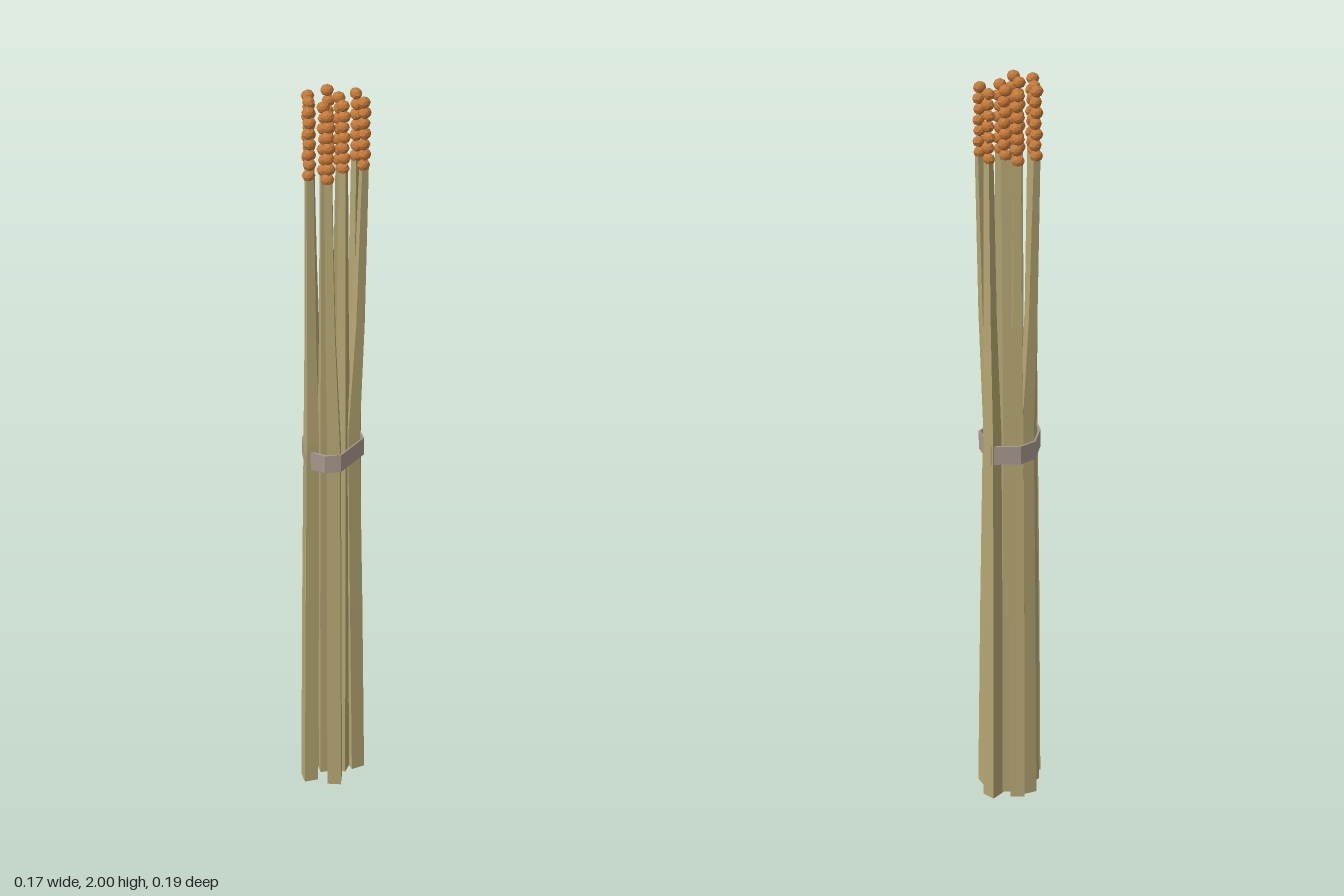
import * as THREE from 'three';

const straw = new THREE.MeshStandardMaterial({ color: 0xb5a673, flatShading: true, side: THREE.DoubleSide });
const grain = new THREE.MeshStandardMaterial({ color: 0xc47a3a, flatShading: true });
const tie = new THREE.MeshStandardMaterial({ color: 0xa8998f, flatShading: true, side: THREE.DoubleSide });

// Each stalk: base, middle and head centre as [x, z], then the turn about y
const STALKS = [
  [[-0.03, -0.055], [-0.028, -0.06], [-0.029, -0.076], 0.1],
  [[0.036, -0.064], [0.033, -0.074], [0.041, -0.068], -0.6],
  [[-0.055, -0.035], [-0.046, -0.034], [-0.069, -0.038], 0.5],
  [[-0.003, -0.035], [-0.006, -0.035], [0.005, -0.04], 0.15],
  [[-0.055, 0.014], [-0.047, 0.015], [-0.06, 0], -0.6],
  [[-0.02, 0.024], [-0.018, 0.028], [-0.021, 0.021], 0.4],
  [[0.022, 0.012], [0.022, 0.012], [0.023, 0.005], -0.2],
  [[0.058, -0.006], [0.044, 0], [0.068, -0.022], 0.6],
  [[-0.056, 0.07], [-0.046, 0.07], [-0.05, 0.056], 0.45],
  [[0.014, 0.072], [0.012, 0.072], [-0.002, 0.07], 0.1],
];

// Square stem whose box rings are shifted, tapered and turned with height
function makeStem(base, mid, top, turn) {
  const rings = [
    { y: 0, p: base, w: 0.037 },
    { y: 0.55, p: [(base[0] + mid[0]) / 2, (base[1] + mid[1]) / 2], w: 0.036 },
    { y: 1.09, p: mid, w: 0.032 },
    { y: 1.4, p: [mid[0] * 0.4 + top[0] * 0.6, mid[1] * 0.4 + top[1] * 0.6], w: 0.023 },
    { y: 1.83, p: top, w: 0.017 },
  ];
  const geo = new THREE.BoxGeometry(1, 4, 1, 1, 4, 1);
  const pos = geo.attributes.position;
  for (let i = 0; i < pos.count; i++) {
    const r = rings[Math.round(pos.getY(i) + 2)];
    const x = pos.getX(i) * r.w, z = pos.getZ(i) * r.w;
    const c = Math.cos(turn), s = Math.sin(turn);
    pos.setXYZ(i, r.p[0] + x * c + z * s, r.y, r.p[1] - x * s + z * c);
  }
  geo.computeVertexNormals();
  return new THREE.Mesh(geo, straw);
}

// Ear of stacked faceted kernels lying on their sides
const kernelGeo = new THREE.SphereGeometry(1, 8, 5).rotateX(Math.PI / 2);
kernelGeo.scale(0.0165, 0.0148, 0.0135);
function makeEar(p, turn) {
  const ear = new THREE.Group();
  const count = 7;
  for (let i = 0; i < count; i++) {
    const kernel = new THREE.Mesh(kernelGeo, grain);
    kernel.name = 'kernel';
    const side = i % 2 ? 0.0015 : -0.0015;
    kernel.position.set(p[0] + side * Math.cos(turn), 1.825 + i * 0.0268, p[1] - side * Math.sin(turn));
    kernel.rotation.y = turn + (i % 2 ? 0.25 : 0);
    ear.add(kernel);
  }
  return ear;
}

// Flat strap following the outline of the bundle
function makeBand() {
  const outline = [[0.035, -0.094], [0.076, -0.006], [0.032, 0.086], [-0.006, 0.097],
    [-0.06, 0.083], [-0.079, 0.02], [-0.073, -0.05], [-0.04, -0.083]];
  const shape = new THREE.Shape(outline.map(([x, z]) => new THREE.Vector2(x, -z)));
  shape.holes.push(new THREE.Path(outline.map(([x, z]) => new THREE.Vector2(x * 0.94, -z * 0.94))));
  const geo = new THREE.ExtrudeGeometry(shape, { depth: 0.05, bevelEnabled: false });
  geo.rotateX(-Math.PI / 2).translate(0, 1.02, 0);
  return new THREE.Mesh(geo, tie);
}

export function createModel() {
  const model = new THREE.Group();
  model.name = 'grainSheaf';
  for (const [base, mid, top, turn] of STALKS) {
    const stalk = new THREE.Group();
    stalk.name = 'stalk';
    const stem = makeStem(base, mid, top, turn);
    stem.name = 'stem';
    const ear = makeEar(top, turn);
    ear.name = 'ear';
    stalk.add(stem, ear);
    model.add(stalk);
  }
  const band = makeBand();
  band.name = 'band';
  model.add(band);
  return model;
}
